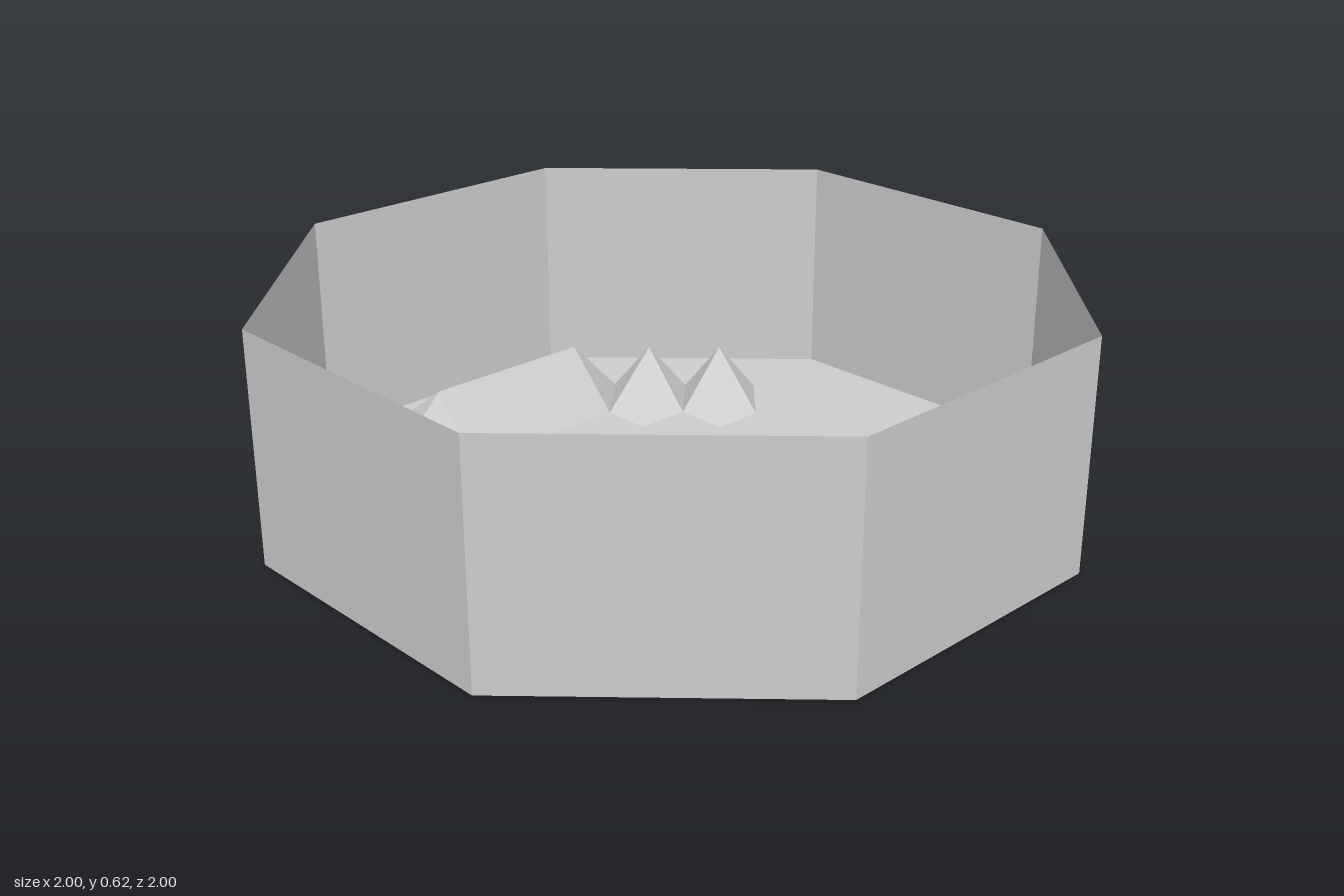
import * as THREE from 'three';

const HEIGHT = 0.62, PEAK = 0.165;
// Grid lines of the raised relief, measured from the centre
const XS = [0.25, 0.41, 0.56, 0.71, 0.855];
const ZS = [0.235, 0.39, 0.535, 0.69, 0.845];

// Collects upward facing polygons, each shaded with one average normal
class Faces {
  constructor() { this.pos = []; this.nor = []; }
  add(...pts) {
    const tris = [];
    const sum = new THREE.Vector3();
    for (let i = 1; i < pts.length - 1; i++) {
      let [a, b, c] = [pts[0], pts[i], pts[i + 1]];
      const n = b.clone().sub(a).cross(c.clone().sub(a));
      if (n.y < 0) { [b, c] = [c, b]; n.negate(); }
      sum.add(n);
      tris.push(a, b, c);
    }
    sum.normalize();
    for (const p of tris) { this.pos.push(p.x, p.y, p.z); this.nor.push(sum.x, sum.y, sum.z); }
  }
  geometry() {
    const g = new THREE.BufferGeometry();
    g.setAttribute('position', new THREE.Float32BufferAttribute(this.pos, 3));
    g.setAttribute('normal', new THREE.Float32BufferAttribute(this.nor, 3));
    return g;
  }
}

// Corner of the relief: a diagonal row of pyramids joined to the ridge ends
function cornerRelief(sx, sz) {
  const faces = new Faces();
  const sideRidge = sx < 0; // the +x side has no ridge
  const isPeak = (i, j) => i + j === 3 && (i < 3 || sideRidge);
  const at = (i, j) => new THREE.Vector3(sx * XS[i], isPeak(i, j) ? PEAK : 0, sz * ZS[j]);
  for (let i = 0; i < 4; i++) {
    for (let j = 0; j < 4; j++) {
      const a = at(i, j), b = at(i + 1, j), c = at(i + 1, j + 1), d = at(i, j + 1);
      const ring = i + j;
      if (ring === 1) faces.add(c, d, a, b); // inner pyramid corners
      else if (ring === 2) { // valleys between neighbouring peaks
        if (b.y > 0) faces.add(a, b, c);
        if (d.y > 0) faces.add(a, c, d);
      } else if (ring === 3 && a.y > 0) {
        if (i === 0 || i === 3) faces.add(a, b, c, d); // outer ridge ends
        else faces.add(a, b, d); // outer pyramid slopes
      }
    }
  }
  return faces.geometry();
}

// Straight ridge with two slopes, running along x (or along z when side is true)
function ridge(half, inner, mid, outer, side) {
  const faces = new Faces();
  const p = (u, y, w) => side ? new THREE.Vector3(w, y, u) : new THREE.Vector3(u, y, w);
  for (const base of [inner, outer]) {
    faces.add(p(-half, 0, base), p(half, 0, base), p(half, PEAK, mid), p(-half, PEAK, mid));
  }
  return faces.geometry();
}

// Octagonal floor, open underneath the relief
function floorGeometry() {
  const R = 1 / Math.cos(Math.PI / 8);
  const shape = new THREE.Shape();
  for (let i = 0; i < 8; i++) {
    const t = Math.PI / 8 + i * Math.PI / 4;
    shape[i ? 'lineTo' : 'moveTo'](R * Math.cos(t), R * Math.sin(t));
  }
  const outer = [[0.56, 0.235], [0.71, 0.39], [0.41, 0.69], [0.41, 0.845],
    [-0.41, 0.845], [-0.41, 0.69], [-0.71, 0.39], [-0.855, 0.39]];
  const inner = [[-0.56, 0.235], [-0.41, 0.235], [-0.41, 0.39], [-0.25, 0.39], [-0.25, 0.535],
    [0.25, 0.535], [0.25, 0.39], [0.41, 0.39], [0.41, 0.235]];
  const mirror = (list) => list.map(([x, y]) => [x, -y]);
  const outline = [...mirror(outer), ...outer.slice().reverse(), ...inner.slice().reverse(), ...mirror(inner)];
  shape.holes.push(new THREE.Path(outline.map(([x, y]) => new THREE.Vector2(x, y))));
  return new THREE.ShapeGeometry(shape).rotateX(-Math.PI / 2);
}

export function createModel() {
  const group = new THREE.Group();
  group.name = 'octagonalTray';
  const gray = new THREE.MeshStandardMaterial({ color: 0xcccccc, side: THREE.DoubleSide });
  gray.name = 'light gray';

  const add = (name, geometry) => {
    const mesh = new THREE.Mesh(geometry, gray);
    mesh.name = name;
    group.add(mesh);
  };

  // Thin eight-sided wall
  const R = 1 / Math.cos(Math.PI / 8);
  const wall = new THREE.CylinderGeometry(R, R, HEIGHT, 8, 1, true)
    .rotateY(Math.PI / 8).translate(0, HEIGHT / 2, 0).toNonIndexed();
  wall.computeVertexNormals();
  add('wall', wall);
  add('floor', floorGeometry());

  // Raised relief on the floor
  for (const sz of [-1, 1]) {
    add(sz > 0 ? 'frontRidge' : 'backRidge', ridge(XS[0], sz * ZS[2], sz * ZS[3], sz * ZS[4], false));
    for (const sx of [-1, 1]) {
      add((sz > 0 ? 'front' : 'back') + (sx > 0 ? 'Left' : 'Right') + 'Pyramids', cornerRelief(sx, sz));
    }
  }
  add('rightRidge', ridge(ZS[0], -XS[2], -XS[3], -XS[4], true));
  return group;
}
